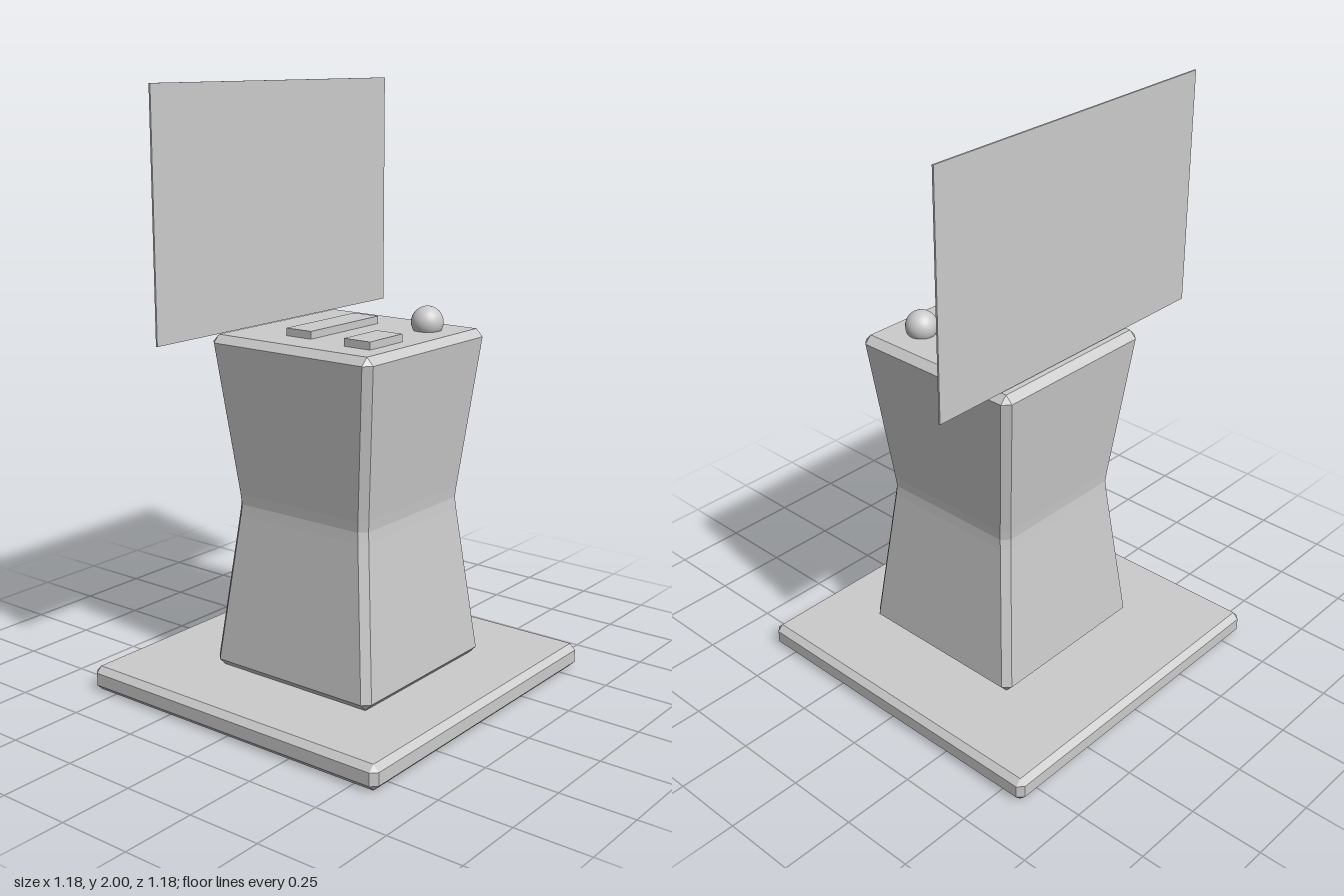
import * as THREE from 'three';

const material = new THREE.MeshStandardMaterial({ color: 0xcccccc, flatShading: true });
const smooth = new THREE.MeshStandardMaterial({ color: 0xcccccc });

// Square loft with cut corners. Each ring is [y, half width, half width of the flat side].
function chamferedLoft(rings) {
  const loops = rings.map(([y, o, i]) =>
    [[o, -i], [o, i], [i, o], [-i, o], [-o, i], [-o, -i], [-i, -o], [i, -o]]
      .map(([x, z]) => new THREE.Vector3(x, y, z)));
  const points = [];
  const tri = (a, b, c) => {
    if (new THREE.Triangle(a, b, c).getArea() > 1e-8) points.push(a, b, c);
  };
  for (let r = 0; r < loops.length - 1; r++) {
    const low = loops[r], high = loops[r + 1];
    for (let k = 0; k < 8; k++) {
      const n = (k + 1) % 8;
      tri(low[k], high[k], low[n]);
      tri(low[n], high[k], high[n]);
    }
  }
  // End caps
  const bottom = loops[0], top = loops[loops.length - 1];
  for (let k = 1; k < 7; k++) {
    tri(bottom[0], bottom[k], bottom[k + 1]);
    tri(top[0], top[k + 1], top[k]);
  }
  const geometry = new THREE.BufferGeometry().setFromPoints(points);
  geometry.computeVertexNormals();
  return geometry;
}

export function createModel() {
  const model = new THREE.Group();
  const add = (name, geometry, x, y, z, mat = material) => {
    const mesh = new THREE.Mesh(geometry, mat);
    mesh.name = name;
    mesh.position.set(x, y, z);
    model.add(mesh);
  };

  // Floor plate with bevelled edges
  add('basePlate', chamferedLoft([
    [0, 0.57, 0.57], [0.02, 0.59, 0.57], [0.063, 0.59, 0.57], [0.083, 0.57, 0.57],
  ]), 0, 0, 0);

  // Pedestal pinched at the waist
  add('pedestal', chamferedLoft([
    [0.083, 0.296, 0.296], [0.108, 0.32, 0.296],
    [0.61, 0.265, 0.241], [0.645, 0.262, 0.238], [0.68, 0.265, 0.241],
    [1.185, 0.32, 0.296], [1.21, 0.296, 0.296],
  ]), -0.004, 0, 0.04);

  // Controls on the top
  add('keyboard', new THREE.BoxGeometry(0.352, 0.026, 0.1), -0.01, 1.222, -0.02);
  add('buttonPad', new THREE.BoxGeometry(0.168, 0.026, 0.1), -0.126, 1.222, 0.23);
  add('trackball', new THREE.SphereGeometry(0.053, 32, 16), 0.171, 1.236, 0.225, smooth);

  // Thin screen along the back edge
  add('screen', new THREE.BoxGeometry(1.152, 0.784, 0.006), -0.018, 1.608, -0.241);

  return model;
}
